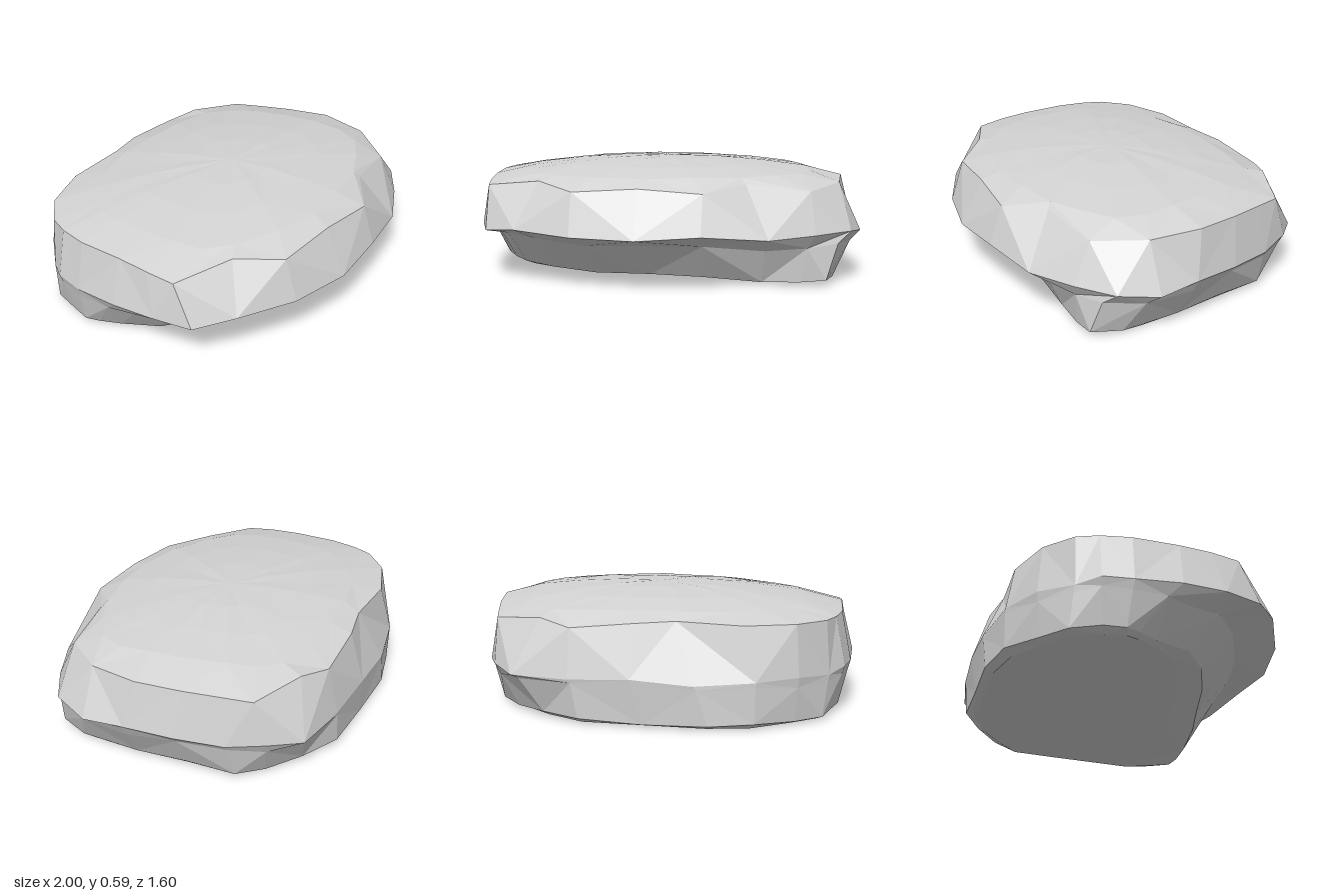
import * as THREE from 'three';

// Widest outline of the boulder: x, z pairs going round
const MID = [
  -1, -.1, -.99, -.25, -.93, -.36, -.81, -.52, -.63, -.65, -.35, -.74, -.05, -.78, .25, -.8,
  .55, -.79, .69, -.67, .79, -.5, .89, -.27, .96, -.03, 1, .18, .95, .38, .78, .52,
  .56, .66, .25, .75, -.06, .8, -.38, .76, -.68, .65, -.86, .53, -.93, .35, -.98, .13,
];
// Flat underside: x, z for each outline point
const BASE = [
  -.91, -.12, -.9, -.22, -.87, -.36, -.76, -.47, -.6, -.61, -.4, -.68, -.1, -.71, .2, -.74,
  .4, -.67, .57, -.57, .69, -.48, .74, -.25, .79, 0, .83, .2, .8, .3, .68, .31,
  .5, .31, .22, .3, -.04, .27, -.32, .24, -.55, .2, -.72, .13, -.82, .02, -.88, -.06,
];
// Upper rim: x, y, z for each outline point
const RIM = [
  -.95, .49, -.1, -.94, .49, -.25, -.91, .49, -.36, -.79, .49, -.5, -.56, .49, -.61, -.24, .5, -.64,
  -.05, .49, -.7, .26, .46, -.745, .43, .49, -.69, .7, .46, -.6, .76, .47, -.46, .83, .48, -.29,
  .9, .49, -.07, .89, .48, .19, .82, .47, .31, .75, .46, .43, .44, .5, .51, .25, .47, .68,
  -.06, .49, .685, -.38, .47, .69, -.58, .5, .53, -.87, .465, .43, -.9, .48, .29, -.92, .49, .13,
];

export function createModel() {
  const n = MID.length / 2;
  const mid = [], rim = [], base = [], foot = [], undercut = [];
  for (let i = 0; i < n; i++) {
    const x = MID[i * 2], z = MID[i * 2 + 1];
    const bx = BASE[i * 2], bz = BASE[i * 2 + 1];
    const fx = bx * 1.04, fz = bz * (bz < 0 ? 1.06 : 1.55);
    // The wall below the widest line is cut back most at the front
    const t = .25 + .3 * THREE.MathUtils.clamp(z / .4, 0, 1);
    base.push([bx, 0, bz]);
    foot.push([fx, .022 + .008 * Math.sin(i * 1.9), fz]);
    undercut.push([x + (fx - x) * t, .195 + .012 * Math.sin(i * 1.9), z + (fz - z) * t]);
    mid.push([x, .245 + .025 * z + .012 * Math.sin(i * 2.3), z]);
    rim.push([RIM[i * 3], RIM[i * 3 + 1], RIM[i * 3 + 2]]);
  }
  // Gently domed crown
  const crown = (s) => mid.map(([x, , z], i) => [
    x * s, .59 - s * s * (.1 * x * x + .18 * z * z) + .002 * Math.sin(i * 2.7), z * s]);

  const rings = [base, foot, undercut, mid, rim, crown(.74), crown(.5), crown(.25)];

  const pos = [];
  const tri = (a, b, c) => pos.push(...a, ...b, ...c);
  for (let r = 0; r < rings.length - 1; r++) {
    for (let i = 0; i < n; i++) {
      const j = (i + 1) % n;
      const a = rings[r][i], b = rings[r][j], c = rings[r + 1][j], d = rings[r + 1][i];
      // Alternate the diagonals for chipped facets
      if ((i + r) % 2) { tri(a, c, b); tri(a, d, c); }
      else { tri(a, d, b); tri(b, d, c); }
    }
  }
  // Close the base and the crown
  const last = rings[rings.length - 1];
  for (let i = 0; i < n; i++) {
    const j = (i + 1) % n;
    tri([0, 0, -.15], base[i], base[j]);
    tri([0, .59, 0], last[j], last[i]);
  }

  const geometry = new THREE.BufferGeometry();
  geometry.setAttribute('position', new THREE.Float32BufferAttribute(pos, 3));
  geometry.computeVertexNormals();

  const stone = new THREE.MeshStandardMaterial({ color: 0xd3d3d3, flatShading: true });
  stone.name = 'stone grey';
  const boulder = new THREE.Mesh(geometry, stone);
  boulder.name = 'boulder';
  const group = new THREE.Group();
  group.name = 'rock';
  group.add(boulder);
  return group;
}
